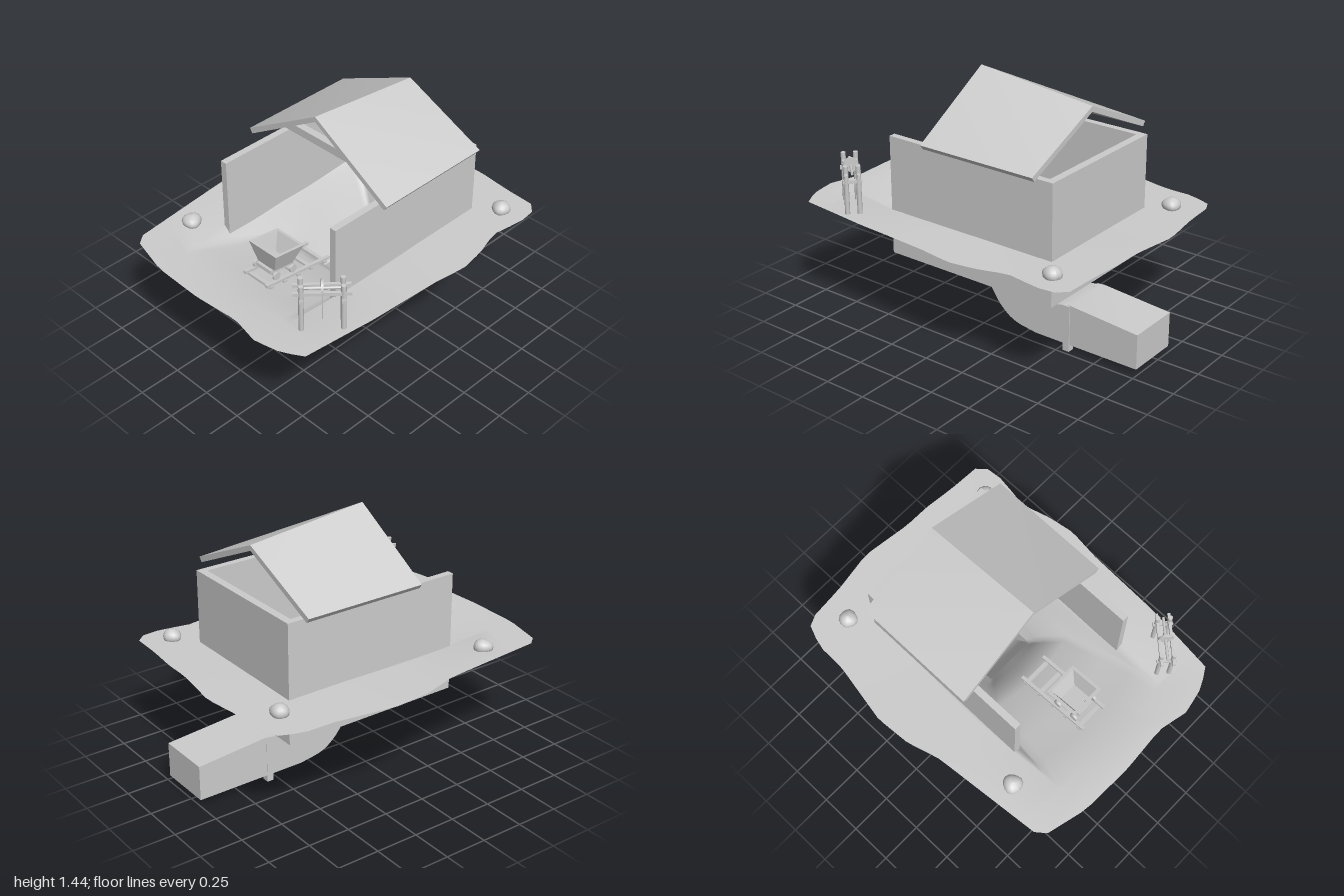
import * as THREE from 'three';

const clay = new THREE.MeshStandardMaterial({ color: 0xcccccc, side: THREE.DoubleSide });
clay.name = 'grey clay';

function add(parent, name, geo, x = 0, y = 0, z = 0) {
  const m = new THREE.Mesh(geo, clay);
  m.name = name;
  m.position.set(x, y, z);
  parent.add(m);
  return m;
}

// Box given by its minimum and maximum corners
function block(parent, name, x0, x1, y0, y1, z0, z1) {
  return add(parent, name, new THREE.BoxGeometry(x1 - x0, y1 - y0, z1 - z0), (x0 + x1) / 2, (y0 + y1) / 2, (z0 + z1) / 2);
}

// Surface through a list of equally long rows of points
function loft(rows) {
  const n = rows[0].length, pos = rows.flat(2), idx = [];
  for (let r = 0; r < rows.length - 1; r++) {
    for (let i = 0; i < n - 1; i++) {
      const a = r * n + i, b = a + n;
      idx.push(a, a + 1, b, a + 1, b + 1, b);
    }
  }
  const g = new THREE.BufferGeometry();
  g.setAttribute('position', new THREE.Float32BufferAttribute(pos, 3));
  g.setIndex(idx);
  g.computeVertexNormals();
  return g;
}

const outline = [
  [-0.9, -0.65], [-0.2, -0.72], [-0.01, -0.775], [0.2, -0.79], [0.58, -0.72], [0.75, -0.72], [0.9, -0.66],
  [0.92, -0.4], [0.96, -0.15], [0.92, 0.15], [0.92, 0.3], [0.9, 0.5], [0.89, 0.73], [0.73, 0.745],
  [0.53, 0.71], [0.36, 0.76], [0.2, 0.785], [0, 0.76], [-0.46, 0.74], [-0.91, 0.69], [-0.97, 0.56],
  [-1, 0.42], [-0.96, 0.24], [-0.98, -0.05], [-0.97, -0.37]];

// Point where a ray from the middle meets the ground outline
function rim(t) {
  const dx = Math.cos(t), dz = Math.sin(t);
  for (let i = 0; i < outline.length; i++) {
    const [ax, az] = outline[i], [bx, bz] = outline[(i + 1) % outline.length];
    const ex = bx - ax, ez = bz - az, d = dx * ez - dz * ex;
    if (Math.abs(d) < 1e-9) continue;
    const s = (ax * ez - az * ex) / d, u = (ax * dz - az * dx) / d;
    if (s > 0 && u >= -1e-6 && u <= 1 + 1e-6) return [dx * s, 0.655 + 0.006 * Math.sin(3 * t + 1), dz * s];
  }
  return [dx, 0.655, dz];
}

// Rounded-square ring; yl is the height on its low -x side
function ring(t, [x0, x1, z0, z1, yr, yl, round]) {
  const c = Math.cos(t), s = Math.sin(t), m = Math.max(Math.abs(c), Math.abs(s));
  const k = (1 - round) / m + round;
  const low = THREE.MathUtils.smoothstep(-c, 0.1, 0.9);
  return [(x0 + x1) / 2 + c * k * (x1 - x0) / 2, yr + (yl - yr) * low, (z0 + z1) / 2 + s * k * (z1 - z0) / 2];
}

function ground(root) {
  const rings = [
    [-0.84, 0.62, -0.42, 0.48, 0.655, 0.65, 0.3],
    [-0.65, 0.6, -0.39, 0.45, 0.65, 0.605, 0.25],
    [-0.47, 0.56, -0.36, 0.42, 0.62, 0.555, 0.25],
    [-0.22, 0.52, -0.29, 0.36, 0.52, 0.5, 0.3],
    [-0.1, 0.48, -0.2, 0.28, 0.39, 0.39, 0.25],
    [-0.04, 0.47, -0.15, 0.25, 0.32, 0.32, 0.12],
    [0.01, 0.47, -0.1, 0.22, 0.26, 0.26, 0]];
  const angles = Array.from({ length: 97 }, (_, i) => i / 96 * Math.PI * 2);
  const rows = [angles.map(rim), ...rings.map(r => angles.map(t => ring(t, r)))];
  add(root, 'groundAndFunnel', loft(rows));
}

// Curved chute leading from the funnel to the closed box
function chute(root) {
  const g = new THREE.Group();
  g.name = 'chute';
  root.add(g);
  const z0 = -0.1, z1 = 0.22;
  const curve = new THREE.CatmullRomCurve3([[0.01, 0.26], [0.1, 0.135], [0.19, 0.07], [0.34, 0.04]]
    .map(p => new THREE.Vector3(p[0], p[1], 0)));
  const floor = [...curve.getPoints(14).map(p => [p.x, p.y]), [1, 0.04]];
  const top = [[1, 0.245], [0.57, 0.28], [0.47, 0.26]];
  const strip = pts => loft([pts.map(p => [p[0], p[1], z0]), pts.map(p => [p[0], p[1], z1])]);
  add(g, 'chuteFloor', strip(floor));
  add(g, 'chuteEnd', strip([[1, 0.04], [1, 0.245]]));
  add(g, 'chuteTop', strip(top));
  const side = new THREE.Shape([...floor, ...top].map(p => new THREE.Vector2(p[0], p[1])));
  for (const z of [z0, z1]) add(g, 'chuteSide', new THREE.ShapeGeometry(side), 0, 0, z);
  block(g, 'chuteLeg', 0.53, 0.57, 0, 0.275, -0.102, -0.06);
  block(g, 'chuteLeg', 0.53, 0.57, 0, 0.275, 0.185, 0.227);
}

function house(root) {
  const g = new THREE.Group();
  g.name = 'house';
  root.add(g);
  block(g, 'backWall', -0.47, 0.625, 0.39, 1.09, -0.405, -0.365);
  block(g, 'frontWall', -0.47, 0.625, 0.39, 1.09, 0.43, 0.47);
  block(g, 'sideWall', 0.58, 0.625, 0.39, 1.09, -0.365, 0.43);
  block(g, 'crossBeam', 0, 0.045, 1.09, 1.14, -0.45, 0.52);
  // Two roof slabs meeting at a ridge that falls towards +x
  for (const eave of [0.55, -0.49]) {
    const geo = new THREE.BoxGeometry(1, 1, 1), p = geo.attributes.position;
    for (let i = 0; i < p.count; i++) {
      const right = p.getX(i) > 0, upper = p.getY(i) > 0, ridge = p.getZ(i) > 0;
      const ridgeY = (right ? 1.36 : 1.44) - (upper ? 0 : 0.032);
      const eaveZ = eave - (upper ? 0 : Math.sign(eave) * 0.02);
      p.setXYZ(i, right ? 0.555 : -0.18, ridge ? ridgeY : upper ? 1.127 : 1.1, ridge ? 0.03 : eaveZ);
    }
    geo.computeVertexNormals();
    add(g, 'roofSlab', geo);
  }
}

function mineCart(root) {
  const g = new THREE.Group();
  g.name = 'cartAndTrack';
  g.position.set(-0.51, 0.625, 0.045);
  g.rotation.z = -0.13;
  root.add(g);
  // Hollow tub with slanted sides
  const sq = (h, y) => [[-h, y, -h], [h, y, -h], [h, y, h], [-h, y, h], [-h, y, -h]];
  const tub = loft([sq(0.001, 0.045), sq(0.065, 0.045), sq(0.105, 0.165), sq(0.088, 0.165), sq(0.055, 0.06), sq(0.001, 0.06)]).toNonIndexed();
  tub.computeVertexNormals();
  add(g, 'cartTub', tub);
  block(g, 'cartFrame', -0.085, 0.085, 0.025, 0.045, -0.055, 0.055);
  for (const s of [-1, 1]) {
    block(g, 'rail', -0.14, 0.33, -0.022, -0.006, s * 0.085 - 0.01, s * 0.085 + 0.01);
    for (const x of [-0.06, 0.06]) {
      add(g, 'cartWheel', new THREE.CylinderGeometry(0.024, 0.024, 0.014, 14).rotateX(Math.PI / 2), x, 0.018, s * 0.078);
    }
  }
  for (let i = 0; i < 5; i++) block(g, 'railTie', -0.12 + i * 0.1, -0.095 + i * 0.1, -0.034, -0.02, -0.1, 0.1);
}

function hoist(root) {
  const g = new THREE.Group();
  g.name = 'hoist';
  g.position.set(-0.67, 0.64, 0.576);
  g.rotation.y = -0.745;
  root.add(g);
  for (const s of [-1, 1]) {
    for (const x of [-0.108, 0.108]) {
      add(g, 'hoistPost', new THREE.CylinderGeometry(0.014, 0.014, 0.3, 8), x, 0.15, s * 0.034);
    }
    block(g, 'hoistLongBar', -0.15, 0.15, 0.24, 0.26, s * 0.034 - 0.008, s * 0.034 + 0.008);
  }
  for (const x of [-0.108, 0.108]) block(g, 'hoistShortBar', x - 0.01, x + 0.01, 0.2, 0.22, -0.055, 0.055);
  add(g, 'hoistAxle', new THREE.CylinderGeometry(0.008, 0.008, 0.25, 8).rotateZ(Math.PI / 2), 0, 0.26, 0);
  add(g, 'hoistWheel', new THREE.CylinderGeometry(0.042, 0.042, 0.012, 16).rotateZ(Math.PI / 2), 0, 0.266, 0);
  add(g, 'hoistRope', new THREE.CylinderGeometry(0.003, 0.003, 0.17, 6), 0, 0.175, 0.042);
}

function rocks(root) {
  [[-0.59, -0.545], [0.745, -0.495], [0.725, 0.6]].forEach(([x, z], n) => {
    const geo = new THREE.SphereGeometry(0.055, 14, 10), p = geo.attributes.position;
    for (let i = 0; i < p.count; i++) {
      const a = p.getX(i) * 45 + n, b = p.getZ(i) * 50, k = 1 + 0.1 * Math.sin(a) * Math.cos(b);
      p.setXYZ(i, p.getX(i) * k, p.getY(i) * 0.75 * k, p.getZ(i) * k);
    }
    geo.computeVertexNormals();
    add(root, 'rock', geo, x, 0.67, z).rotation.y = n * 1.3;
  });
}

export function createModel() {
  const root = new THREE.Group();
  root.name = 'mineHouse';
  for (const build of [ground, chute, house, mineCart, hoist, rocks]) build(root);
  return root;
}
